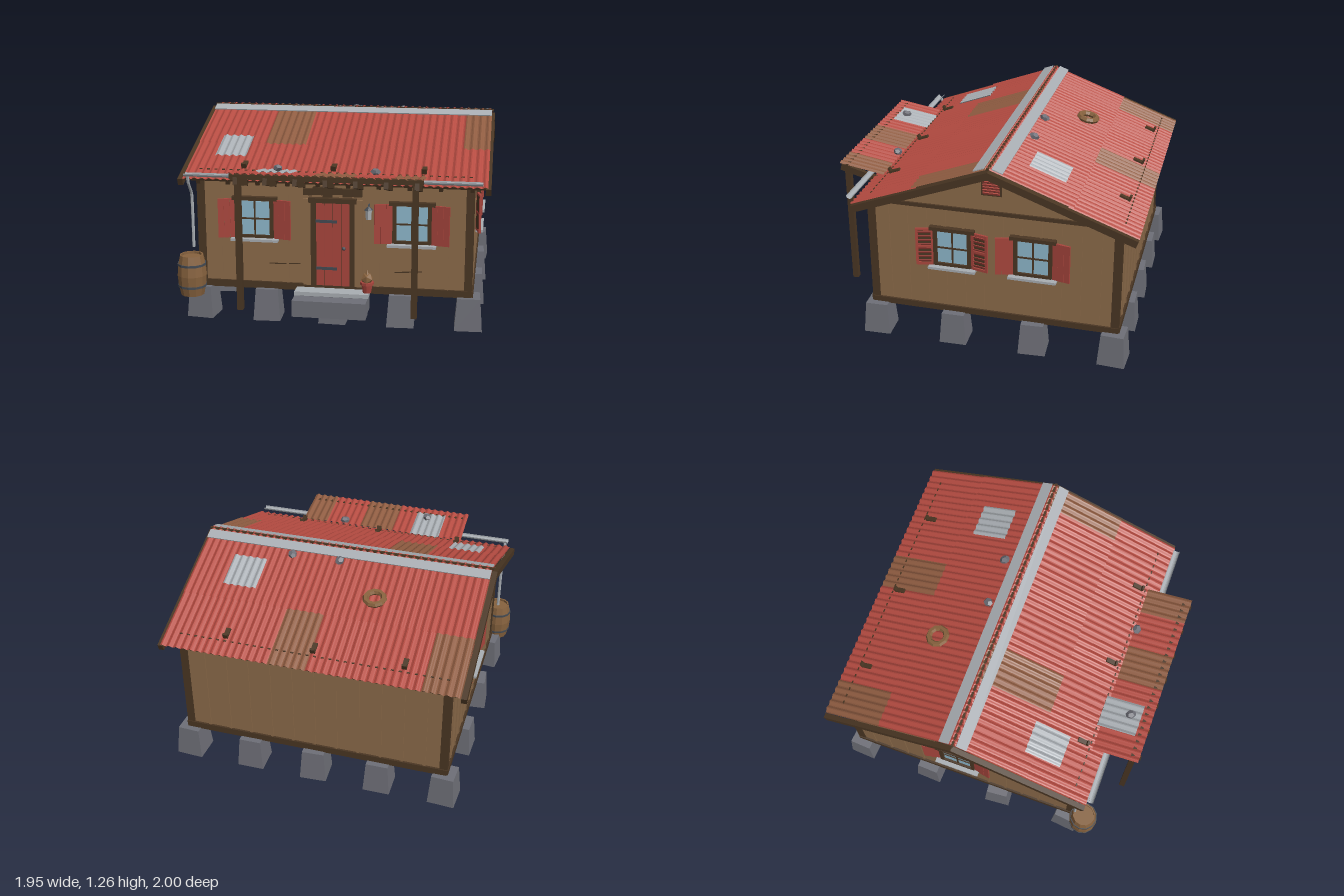
import * as THREE from 'three';

const mat = (name, color, side = THREE.FrontSide) => {
  const m = new THREE.MeshStandardMaterial({ color, side, flatShading: true });
  m.name = name;
  return m;
};
const D = THREE.DoubleSide;
const M = {
  wall: mat('wall wood', 0x8c6b4a), dark: mat('dark timber', 0x4a3623),
  red: mat('red tin', 0xb54b41, D), rust: mat('rusty tin', 0x8f5c41, D),
  zinc: mat('zinc', 0xa9aeb3, D), stone: mat('stone', 0x6e6f77),
  glass: mat('glass', 0x8fb9cd), iron: mat('dark iron', 0x444a52),
  shutter: mat('painted red wood', 0xa9463d), cask: mat('cask wood', 0x87623e),
};
// Wall limits, ridge and roof pitch
const X0 = -0.85, X1 = 0.87, Z0 = -0.89, Z1 = 0.685, RZ = -0.1025, RY = 1.235, CX = 0.01;
const PITCH = Math.atan(0.37), COS = Math.cos(PITCH);

let seed = 7;
const rnd = () => (seed = (seed * 16807) % 2147483647) / 2147483647;

function put(parent, name, geo, material, x = 0, y = 0, z = 0) {
  const m = new THREE.Mesh(geo, material);
  m.name = name;
  m.position.set(x, y, z);
  parent.add(m);
  return m;
}
const box = (p, name, m, w, h, d, x, y, z) => put(p, name, new THREE.BoxGeometry(w, h, d), m, x, y, z);
// Box given by its limits
const span = (p, name, m, x0, x1, y0, y1, z0, z1) =>
  box(p, name, m, x1 - x0, y1 - y0, z1 - z0, (x0 + x1) / 2, (y0 + y1) / 2, (z0 + z1) / 2);
function sub(parent, name, x = 0, y = 0, z = 0, ry = 0) {
  const g = new THREE.Group();
  g.name = name;
  g.position.set(x, y, z);
  g.rotation.y = ry;
  parent.add(g);
  return g;
}

// Corrugated sheet in the xz plane, waves running along z
function sheet(p, name, m, x0, x1, z0, z1, y) {
  const geo = new THREE.PlaneGeometry(x1 - x0, Math.abs(z1 - z0), Math.round((x1 - x0) * 130), 1).rotateX(-Math.PI / 2);
  geo.translate((x0 + x1) / 2, 0, (z0 + z1) / 2);
  const a = geo.attributes.position;
  for (let i = 0; i < a.count; i++) a.setY(i, 0.006 * Math.cos(a.getX(i) * Math.PI * 2 / 0.047));
  geo.computeVertexNormals();
  return put(p, name, geo, m, 0, y, 0);
}
// Row of sheets; the listed x ranges are rusty
function sheetRow(p, x0, x1, z0, z1, y, rusty) {
  let x = x0;
  for (const [a, b] of rusty) {
    if (a > x) sheet(p, 'roofSheet', M.red, x, a, z0, z1, y);
    sheet(p, 'rustySheet', M.rust, a, b, z0, z1, y);
    x = b;
  }
  if (x < x1) sheet(p, 'roofSheet', M.red, x, x1, z0, z1, y);
}

function rock(p, x, y, z) {
  const m = put(p, 'roofRock', new THREE.DodecahedronGeometry(0.034), M.stone, x, y, z);
  m.scale.set(1, 0.65, 0.85);
  m.rotation.y = rnd() * 3;
}

// One roof slope; dir is +1 for front, -1 for back
function slope(p, dir, len, seam, rustUp, rustLow) {
  const g = sub(p, dir > 0 ? 'frontSlope' : 'backSlope', 0, RY, RZ);
  g.rotation.x = dir * PITCH;
  box(g, 'roofDeck', M.dark, 1.86, 0.016, len - 0.015, 0.015, -0.01, dir * (len - 0.015) / 2);
  sheetRow(g, -0.925, 0.955, dir * (seam - 0.03), dir * len, 0.007, rustLow);
  sheetRow(g, -0.925, 0.955, dir * -0.02, dir * seam, 0.014, rustUp);
  box(g, 'ridgeCap', M.zinc, 1.88, 0.006, 0.07, 0.015, 0.023, dir * 0.052);
  for (const x of [-0.942, 0.957]) box(g, 'bargeBoard', M.dark, 0.033, 0.045, len, x, -0.024, dir * len / 2);
  for (let i = 0; i < 10; i++)
    box(g, 'rafter', M.dark, 0.026, 0.04, len - 0.04, -0.84 + i * 0.189, -0.036, dir * (len - 0.04) / 2);
  const row = len - 0.105;
  for (let i = 0; i < 36; i++) box(g, 'roofNail', M.dark, 0.018, 0.004, 0.008, -0.83 + i * 0.048, 0.013, dir * row);
  for (const x of [-0.56, 0.005, 0.565]) {
    box(g, 'snowHook', M.dark, 0.03, 0.012, 0.07, x, 0.018, dir * (row - 0.055));
    box(g, 'snowHook', M.dark, 0.03, 0.035, 0.014, x, 0.028, dir * (row - 0.026));
  }
  return g;
}

// Window facing +z, its origin on the wall at the centre
function windowUnit(p, x, y, z, ry, louvred) {
  const g = sub(p, 'window', x, y, z, ry);
  box(g, 'windowGlass', M.glass, 0.2, 0.22, 0.008, 0, -0.005, 0.008);
  for (const s of [-1, 1]) box(g, 'windowFrame', M.dark, 0.024, 0.25, 0.03, s * 0.108, 0, 0.012);
  box(g, 'windowHead', M.dark, 0.285, 0.024, 0.036, 0, 0.125, 0.015);
  box(g, 'windowFoot', M.dark, 0.23, 0.018, 0.03, 0, -0.118, 0.012);
  box(g, 'muntin', M.dark, 0.01, 0.23, 0.012, 0, 0, 0.012);
  box(g, 'muntin', M.dark, 0.2, 0.01, 0.012, 0, -0.005, 0.012);
  box(g, 'windowSill', M.zinc, 0.3, 0.016, 0.06, 0, -0.138, 0.025);
  for (const s of [-1, 1]) {
    const h = sub(g, 'shutter', s * 0.12, -0.005, 0.012, -s * 0.22);
    if (louvred) {
      for (const e of [0.008, 0.104]) box(h, 'shutterStile', M.shutter, 0.016, 0.25, 0.014, s * e, 0, 0);
      for (const e of [-0.118, 0, 0.118]) box(h, 'shutterRail', M.shutter, 0.1, 0.016, 0.014, s * 0.056, e, 0);
      box(h, 'shutterBack', M.dark, 0.09, 0.24, 0.003, s * 0.056, 0, -0.005);
      for (let i = 0; i < 8; i++)
        box(h, 'louvre', M.shutter, 0.09, 0.018, 0.004, s * 0.056, -0.098 + i * 0.028, 0).rotation.x = 0.5;
    } else {
      for (let i = 0; i < 3; i++) box(h, 'shutterPlank', M.shutter, 0.037, 0.25, 0.012 + (i % 2) * 0.004, s * (0.019 + i * 0.038), 0, 0);
      for (const e of [-0.08, 0.08]) box(h, 'shutterBatten', M.shutter, 0.1, 0.018, 0.008, s * 0.057, e, -0.01);
    }
  }
}

function buildWalls(p) {
  const g = sub(p, 'walls');
  span(g, 'wallBody', M.wall, X0, X1, 0.22, 0.93, Z0, Z1);
  const tri = new THREE.Shape([[-0.785, 0], [0.785, 0], [0, 0.285]].map(a => new THREE.Vector2(...a)));
  const geo = new THREE.ExtrudeGeometry(tri, { depth: X1 - X0, bevelEnabled: false }).rotateY(Math.PI / 2);
  put(g, 'gable', geo, M.wall, X0, 0.92, RZ);
  span(g, 'floor', M.dark, X0, X1, 0.2, 0.24, Z0, Z1);
  for (let i = 0; i < 12; i++) span(g, 'floorPlank', M.dark, X0 + 0.03, X1 - 0.03, 0.194, 0.201, Z0 + 0.03 + i * 0.128, Z0 + 0.15 + i * 0.128);
  // Vertical battens
  for (let x = X0 + 0.14; x < X1 - 0.06; x += 0.143) {
    box(g, 'batten', M.wall, 0.016, 0.67, 0.014, x, 0.58, Z0);
    if (Math.abs(x - 0.01) > 0.18 && Math.abs(Math.abs(x - 0.01) - 0.49) > 0.15) box(g, 'batten', M.wall, 0.016, 0.67, 0.014, x, 0.58, Z1);
  }
  for (let z = Z0 + 0.12; z < Z1 - 0.06; z += 0.121)
    for (const x of [X0, X1]) box(g, 'batten', M.wall, 0.014, 0.67, 0.016, x, 0.58, z);
  // Corner posts, sills and plates
  for (const x of [X0 + 0.018, X1 - 0.018])
    for (const z of [Z0 + 0.018, Z1 - 0.018]) box(g, 'cornerPost', M.dark, 0.05, 0.72, 0.05, x, 0.57, z);
  for (const z of [Z0, Z1]) for (const y of [0.224, 0.915]) box(g, 'longBeam', M.dark, 1.73, 0.045, 0.026, CX, y, z);
  for (const x of [X0, X1]) {
    const s = Math.sign(x);
    box(g, 'sideSill', M.dark, 0.026, 0.04, 1.585, x, 0.22, RZ);
    box(g, 'sidePlate', M.dark, 0.026, 0.024, 1.585, x, 0.927, RZ);
    box(g, 'kingPost', M.dark, 0.03, 0.06, 0.04, x, 1.17, RZ);
    const v = sub(g, 'gableVent', x, 1.095, RZ, s * Math.PI / 2);
    box(v, 'ventFrame', M.dark, 0.125, 0.105, 0.016, 0, 0, 0.004);
    for (let i = 0; i < 5; i++) box(v, 'ventLouvre', M.shutter, 0.105, 0.014, 0.01, 0, -0.036 + i * 0.018, 0.012).rotation.x = 0.4;
  }
  // Weathered cracks
  box(g, 'crack', M.dark, 0.2, 0.006, 0.004, -0.3, 0.37, Z1 + 0.001).rotation.z = 0.03;
  box(g, 'crack', M.dark, 0.17, 0.006, 0.004, 0.48, 0.35, Z1 + 0.001).rotation.z = 0.06;
  windowUnit(g, -0.485, 0.665, Z1, 0);
  windowUnit(g, 0.5, 0.665, Z1, 0);
  windowUnit(g, X1, 0.66, 0.147, Math.PI / 2, true);
  windowUnit(g, X1, 0.66, -0.36, Math.PI / 2);
  windowUnit(g, X0, 0.66, -0.13, -Math.PI / 2);
}

function buildEntrance(p) {
  const g = sub(p, 'entrance', 0.008, 0, Z1);
  for (let i = 0; i < 4; i++) box(g, 'doorPlank', M.shutter, 0.05, 0.54, 0.02, -0.079 + i * 0.0527, 0.512, 0.006);
  box(g, 'doorGap', M.dark, 0.22, 0.54, 0.006, 0, 0.512, 0.002);
  for (const s of [-1, 1]) {
    box(g, 'doorPost', M.dark, 0.03, 0.57, 0.04, s * 0.122, 0.52, 0.01);
    box(g, 'doorTrim', M.wall, 0.05, 0.56, 0.02, s * 0.162, 0.52, 0.006);
  }
  box(g, 'doorLintel', M.dark, 0.3, 0.03, 0.045, 0, 0.795, 0.012);
  for (let i = 0; i < 6; i++) box(g, 'lintelBlock', M.dark, 0.058, 0.04 + (i % 3) * 0.01, 0.03, -0.155 + i * 0.062, 0.845 + (i % 2) * 0.008, 0.01);
  for (const y of [0.355, 0.66]) box(g, 'hinge', M.iron, 0.135, 0.018, 0.006, -0.04, y, 0.018);
  put(g, 'doorKnob', new THREE.SphereGeometry(0.012, 8, 6), M.iron, 0.07, 0.49, 0.024);
  // Stone steps
  span(g, 'upperStep', M.stone, -0.225, 0.23, 0.1, 0.2, 0, 0.1);
  span(g, 'stepSlab', M.zinc, -0.23, 0.235, 0.2, 0.225, 0, 0.11);
  span(g, 'lowerStep', M.stone, -0.23, 0.23, 0.09, 0.195, 0.1, 0.195);
  // Lantern
  const l = sub(g, 'lantern', 0.227, 0.72, 0.04);
  put(l, 'lanternGlass', new THREE.CylinderGeometry(0.022, 0.018, 0.06, 6), M.zinc);
  put(l, 'lanternCap', new THREE.ConeGeometry(0.03, 0.025, 6), M.iron, 0, 0.042, 0);
  box(l, 'lanternArm', M.iron, 0.008, 0.008, 0.05, 0, 0.056, -0.02);
  // Flower pot with a dry plant
  const f = sub(g, 'flowerPot', 0.222, 0.225, 0.06);
  put(f, 'pot', new THREE.CylinderGeometry(0.038, 0.026, 0.065, 10), M.shutter, 0, 0.033, 0);
  put(f, 'potRim', new THREE.CylinderGeometry(0.043, 0.043, 0.016, 10), M.shutter, 0, 0.062, 0);
  put(f, 'plant', new THREE.IcosahedronGeometry(0.04), M.cask, 0, 0.09, 0);
  put(f, 'plantTip', new THREE.ConeGeometry(0.022, 0.05, 6), M.cask, 0, 0.125, 0);
}

function buildPorch(p) {
  const g = sub(p, 'porch');
  const r = sub(g, 'porchRoof', 0, 0.962, 0.69);
  r.rotation.x = -Math.atan(0.165);
  sheetRow(r, -0.58, 0.585, 0, 0.3, 0, [[-0.08, 0.16], [0.41, 0.585]]);
  sheet(r, 'tinPatch', M.zinc, -0.425, -0.215, -0.02, 0.23, 0.012);
  rock(r, -0.3, 0.034, 0.165);
  rock(r, 0.275, 0.022, 0.02);
  for (let i = 0; i < 7; i++)
    box(g, 'porchRafter', M.dark, 0.027, 0.042, 0.28, -0.53 + i * 0.18, 0.932, 0.855).rotation.x = -Math.atan(0.27);
  box(g, 'porchPurlin', M.dark, 1.16, 0.03, 0.03, 0.005, 0.985, 0.945);
  for (const x of [-0.525, 0.54]) span(g, 'porchPost', M.dark, x - 0.018, x + 0.018, 0.15, 0.98, 0.93, 0.967);
}

function buildBarrel(p) {
  const g = sub(p, 'barrel', -0.882, 0.17, 0.77);
  const pts = [[0, 0], [0.074, 0], [0.088, 0.065], [0.094, 0.13], [0.088, 0.195], [0.074, 0.26], [0.064, 0.26], [0.064, 0.245], [0, 0.245]];
  put(g, 'barrelBody', new THREE.LatheGeometry(pts.map(a => new THREE.Vector2(...a)), 12), M.cask);
  for (const y of [0.06, 0.2]) put(g, 'barrelHoop', new THREE.CylinderGeometry(0.091, 0.091, 0.014, 12), M.iron, 0, y, 0);
}

export function createModel() {
  const root = new THREE.Group();
  root.name = 'cabin';
  // Tapered stone piers around the edge
  for (let i = 0; i < 5; i++) for (let j = 0; j < 4; j++) {
    if (i % 4 && j % 3) continue;
    const geo = new THREE.CylinderGeometry(0.1, 0.122, 0.205, 4).rotateY(Math.PI / 4);
    put(root, 'pier', geo, M.stone, -0.84 + i * 0.424, 0.1025, 0.655 - j * 0.508).rotation.y = (rnd() - 0.5) * 0.2;
  }
  buildWalls(root);
  buildEntrance(root);

  // Main roof with patches, stones and an old ring
  const roof = sub(root, 'roof');
  const front = slope(roof, 1, 0.925, 0.5, [[-0.48, -0.22], [0.79, 0.955]], []);
  sheet(front, 'tinPatch', M.zinc, -0.775, -0.57, 0.43, 0.675, 0.026);
  const back = slope(roof, -1, 0.955, 0.54, [], [[-0.925, -0.69], [0.02, 0.26]]);
  sheet(back, 'tinPatch', M.zinc, 0.5, 0.72, -0.195, -0.435, 0.026);
  rock(back, 0.03, 0.036, -0.125);
  rock(back, 0.345, 0.036, -0.13);
  const ring = put(back, 'roofRing', new THREE.TorusGeometry(0.058, 0.02, 6, 10).rotateX(Math.PI / 2), M.cask, -0.265, 0.036, -0.375);
  ring.rotation.x = 0.15;
  box(roof, 'ridgeBeam', M.dark, 1.9, 0.014, 0.014, 0.015, 1.249, RZ);

  // Gutter and downpipe
  const gutter = new THREE.CylinderGeometry(0.021, 0.021, 1.83, 8, 1, true, 0, Math.PI).rotateZ(-Math.PI / 2);
  put(root, 'gutter', gutter, M.zinc, CX, 0.957, 0.785);
  const path = new THREE.CatmullRomCurve3([[0.94, 0.785], [0.89, 0.77], [0.81, 0.712], [0.74, 0.705], [0.46, 0.705]]
    .map(([y, z]) => new THREE.Vector3(-0.885, y, z)));
  put(root, 'downpipe', new THREE.TubeGeometry(path, 20, 0.01, 6), M.zinc);

  buildPorch(root);
  buildBarrel(root);
  return root;
}
